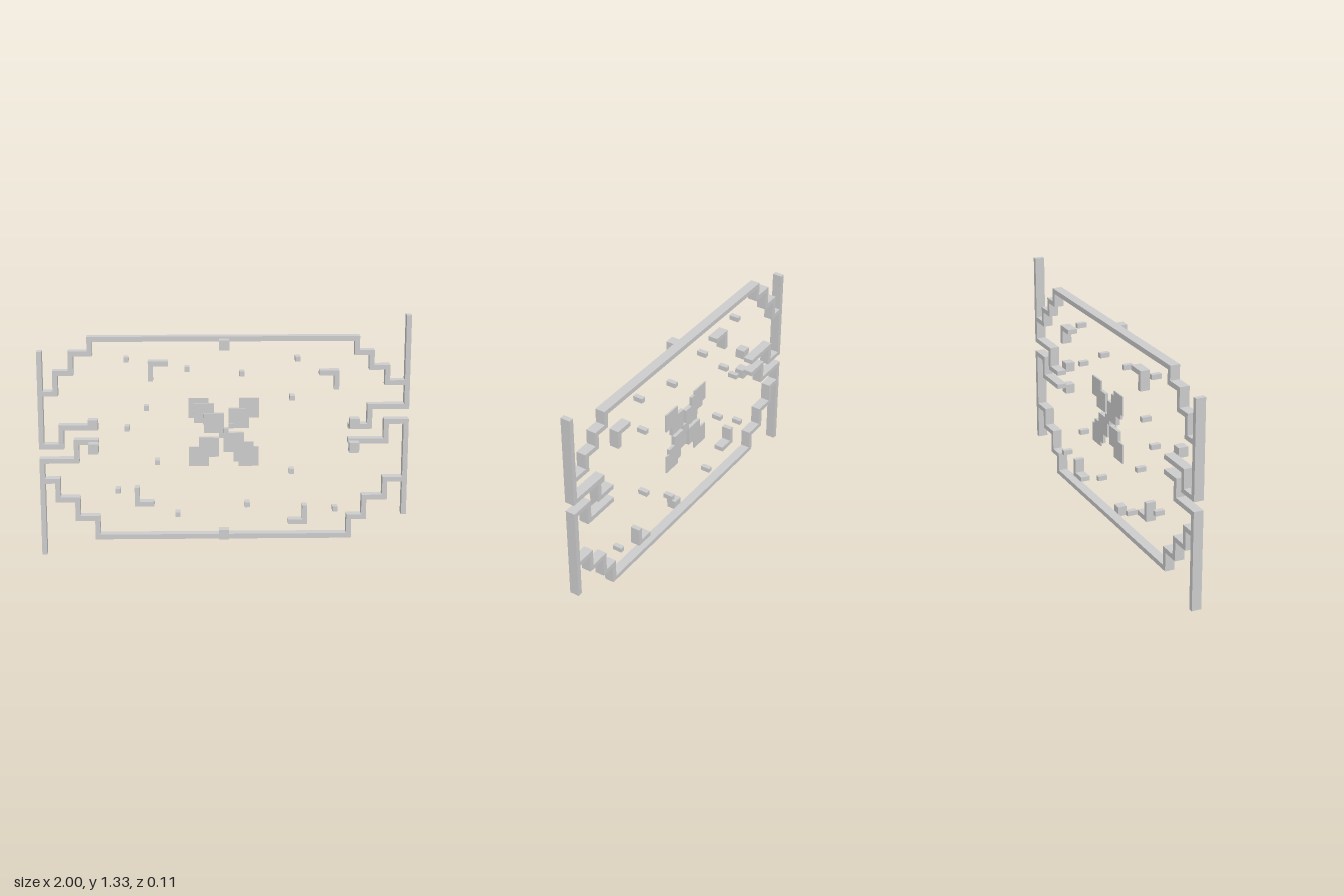
import * as THREE from 'three';

const W = 0.027;      // bar thickness
const D = 0.054;      // bar depth
const H = W / 2;

export function createModel() {
  const model = new THREE.Group();
  const mat = new THREE.MeshStandardMaterial({ color: 0xcccccc, flatShading: true });

  const box = (parent, name, w, h, d, x, y, z) => {
    const mesh = new THREE.Mesh(new THREE.BoxGeometry(w, h, d), mat);
    mesh.name = name;
    mesh.position.set(x, y, z);
    parent.add(mesh);
  };

  // Square bar following a right-angled centre line, without overlapping corners
  const bar = (name, pts) => {
    const group = new THREE.Group();
    group.name = name;
    for (let i = 0; i < pts.length - 1; i++) {
      const a = new THREE.Vector2(...pts[i]);
      const b = new THREE.Vector2(...pts[i + 1]);
      const dir = b.clone().sub(a).normalize();
      a.addScaledVector(dir, i === 0 ? -H : H);
      b.addScaledVector(dir, H);
      const w = Math.abs(b.x - a.x) || W;
      const h = Math.abs(b.y - a.y) || W;
      box(group, name + 'Segment', w, h, D, (a.x + b.x) / 2, (a.y + b.y) / 2, -D / 2);
    }
    model.add(group);
  };

  // Stepped top and bottom frame rails
  bar('topRail', [
    [-0.96, 0.905], [-0.905, 0.905], [-0.905, 1.018], [-0.82, 1.018], [-0.82, 1.124],
    [-0.718, 1.124], [-0.718, 1.202], [0.713, 1.202], [0.713, 1.124], [0.793, 1.124],
    [0.793, 1.044], [0.879, 1.044], [0.879, 0.959], [0.96, 0.959],
  ]);
  bar('bottomRail', [
    [-0.96, 0.419], [-0.905, 0.419], [-0.905, 0.313], [-0.799, 0.313], [-0.799, 0.206],
    [-0.692, 0.206], [-0.692, 0.099], [0.686, 0.099], [0.686, 0.206], [0.767, 0.206],
    [0.767, 0.318], [0.879, 0.318], [0.879, 0.419], [0.96, 0.419],
  ]);

  // Side posts, each running on into a stepped arm that points inwards
  bar('upperRightPost', [[-0.9865, 1.122], [-0.9865, 0.612], [-0.879, 0.612], [-0.879, 0.718], [-0.692, 0.718]]);
  bar('lowerRightPost', [[-0.9865, 0.0135], [-0.9865, 0.532], [-0.799, 0.532], [-0.799, 0.636], [-0.692, 0.636]]);
  bar('upperLeftPost', [[0.9865, 1.312], [0.9865, 0.828], [0.788, 0.828], [0.788, 0.718], [0.687, 0.718]]);
  bar('lowerLeftPost', [[0.9865, 0.232], [0.9865, 0.745], [0.879, 0.745], [0.879, 0.636], [0.687, 0.636]]);

  // Knobs on the front of the rails and arm ends
  for (const [x, y] of [[0, 1.178], [0, 0.125], [-0.704, 0.745], [-0.704, 0.612], [0.702, 0.745], [0.702, 0.612]]) {
    box(model, 'knob', D, D, D, x, y, D / 2);
  }

  // Loose corner brackets
  bar('bracket', [[-0.393, 0.985], [-0.393, 1.068], [-0.312, 1.068]]);
  bar('bracket', [[0.526, 1.015], [0.606, 1.015], [0.606, 0.937]]);
  bar('bracket', [[-0.473, 0.366], [-0.473, 0.286], [-0.393, 0.286]]);
  bar('bracket', [[0.443, 0.259], [0.443, 0.179], [0.366, 0.179]]);

  // Scattered studs
  const studs = [
    [-0.523, 1.09], [-0.198, 1.036], [0.096, 1.01], [0.395, 1.09], [0.368, 0.876],
    [-0.417, 0.823], [-0.523, 0.71], [-0.361, 0.521], [0.368, 0.467], [-0.577, 0.361],
    [-0.251, 0.224], [0.128, 0.278], [0.609, 0.251],
  ];
  for (const [x, y] of studs) box(model, 'stud', W, W, D, x, y, -D / 2);

  // Central cross: square plates stepping forward towards the middle
  const cross = new THREE.Group();
  cross.name = 'centreCross';
  cross.position.set(0, 0.678, -D);
  model.add(cross);
  const plate = (name, size, x, y, t) => box(cross, name, size, size, t, x, y, t / 2);
  for (const s of [-1, 1]) {
    [0.136, 0.108, 0.054].forEach((r, i) => plate('fallingPlate', 0.109, s * r, -s * r, 0.008 * (i + 1)));
    [0.136, 0.081].forEach((r, i) => plate('risingPlate', 0.109, s * r, s * r, 0.008 * (i + 1) + 0.002));
  }
  for (const r of [-0.04, -0.013, 0.013, 0.04]) plate('centreChip', W, r, r, 0.031);

  return model;
}
